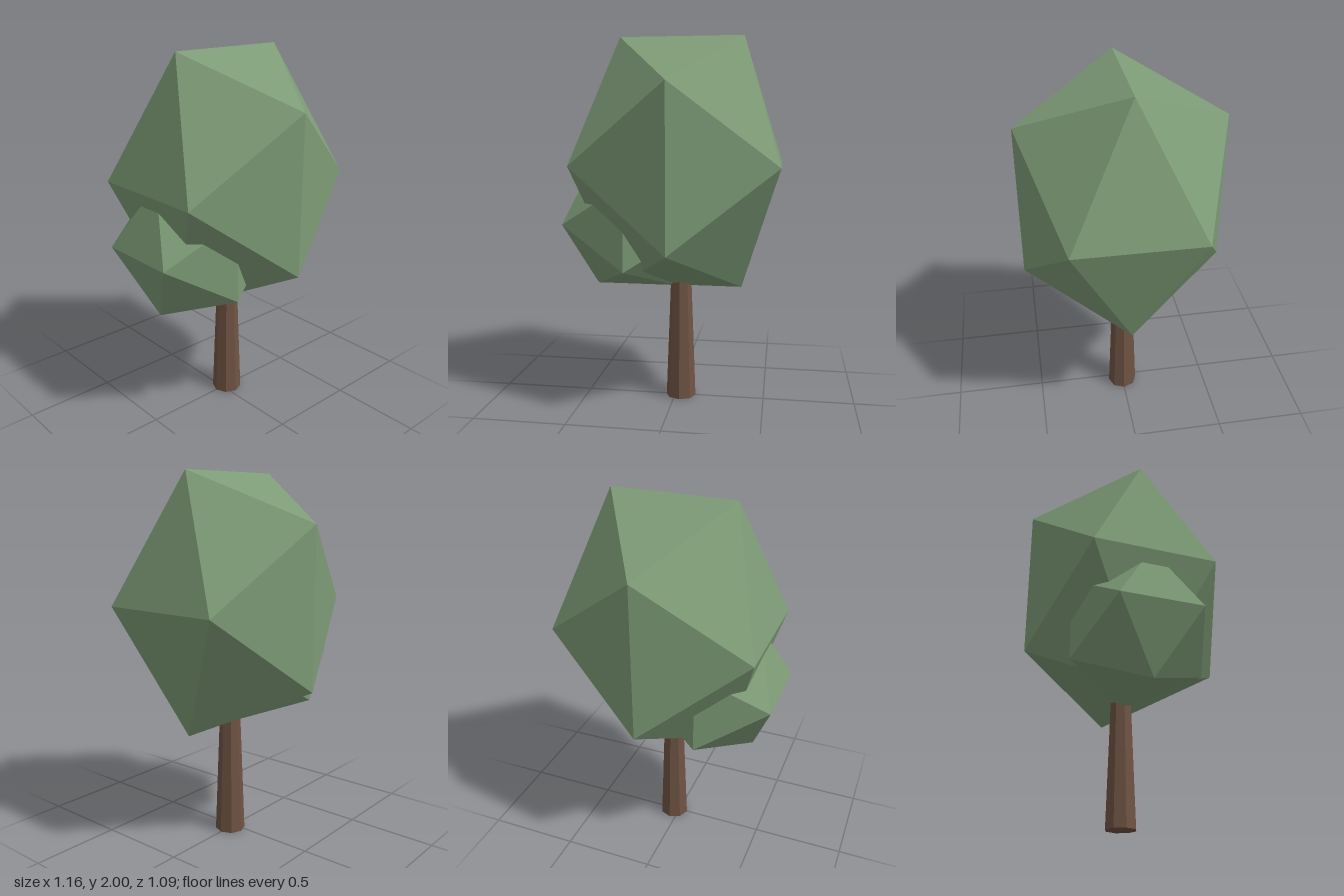
import * as THREE from 'three';

export function createModel() {
  const tree = new THREE.Group();
  tree.name = 'tree';

  const leaf = new THREE.MeshStandardMaterial({ color: 0x7d9b76, flatShading: true });
  leaf.name = 'leaf green';
  const bark = new THREE.MeshStandardMaterial({ color: 0x6f5343, flatShading: true });
  bark.name = 'bark brown';

  const add = (name, geometry, material, x, y, z = 0) => {
    const mesh = new THREE.Mesh(geometry, material);
    mesh.name = name;
    mesh.position.set(x, y, z);
    tree.add(mesh);
    return mesh;
  };

  // Tapered eight-sided trunk, its top hidden in the crown
  const trunkHeight = 0.8;
  add('trunk', new THREE.CylinderGeometry(0.053, 0.083, trunkHeight, 8), bark, 0.033, trunkHeight / 2);

  // Tall main crown and a smaller side clump
  add('mainCrown', new THREE.IcosahedronGeometry(0.639, 0), leaf, 0.033, 1.32).scale.y = 1.25;
  add('sideClump', new THREE.IcosahedronGeometry(0.426, 0), leaf, -0.218, 1.0);

  return tree;
}
